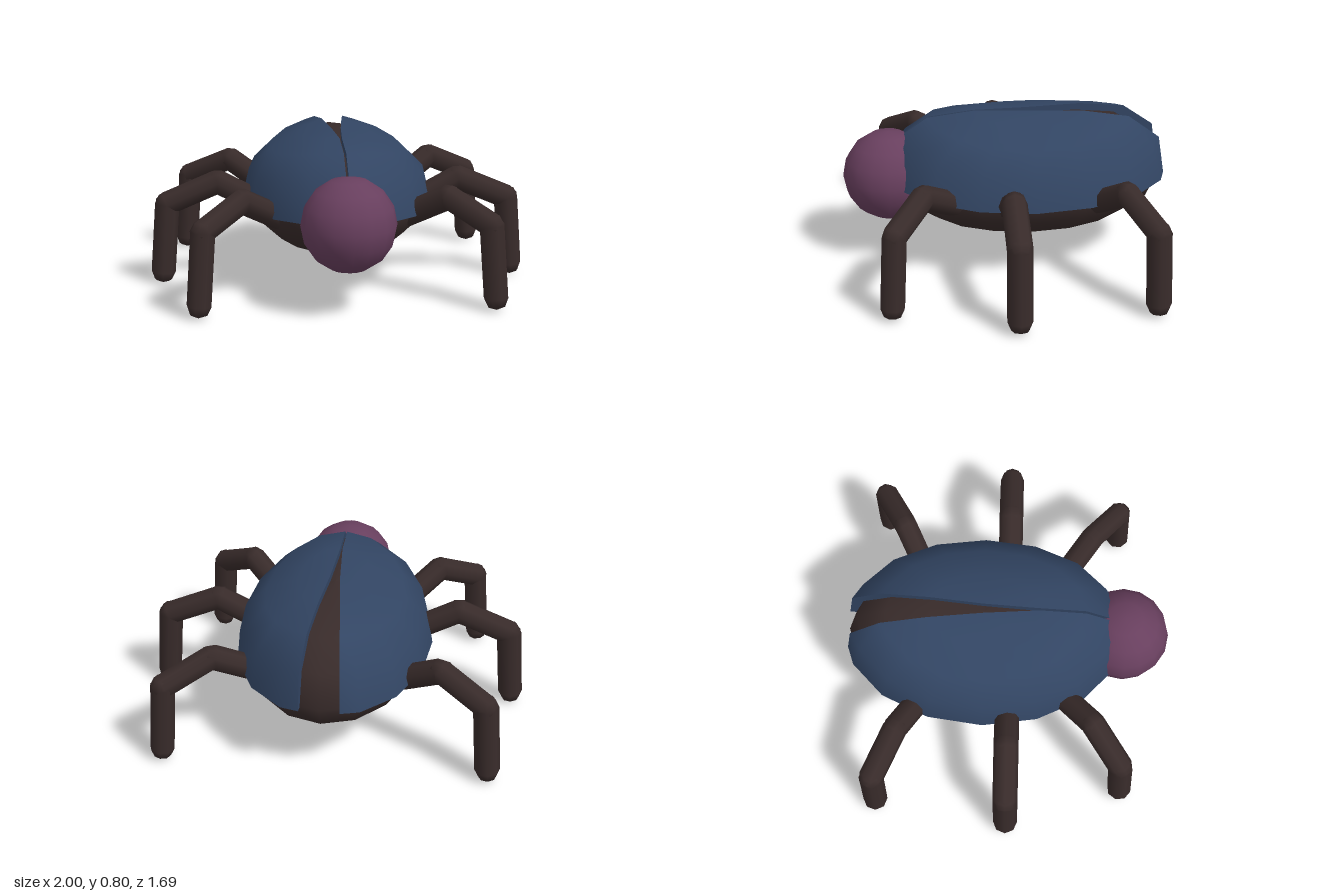
import * as THREE from 'three';
import { mergeGeometries, mergeVertices } from 'three/addons/utils/BufferGeometryUtils.js';

const mat = (name, color, side = THREE.FrontSide) => {
  const m = new THREE.MeshStandardMaterial({ color, side });
  m.name = name;
  return m;
};

// Upper surfaces are fuller towards both ends
const fullness = (t) => 1 + 0.58 * t * t;

// Surface through rows of points
function loft(rows) {
  const n = rows[0].length, index = [];
  for (let i = 0; i < rows.length - 1; i++) {
    for (let j = 0; j < n - 1; j++) {
      const a = i * n + j, b = a + 1, c = a + n, d = c + 1;
      index.push(a, c, b, b, c, d);
    }
  }
  const g = new THREE.BufferGeometry();
  g.setAttribute('position', new THREE.Float32BufferAttribute(rows.flat(2), 3));
  g.setIndex(index);
  const merged = mergeVertices(g, 1e-5);
  merged.computeVertexNormals();
  return merged;
}

// One wing case: a quarter ellipsoid with its inner edge opening towards the rear
function wingCase() {
  const N = 8, M = 4;
  const point = (i, j, s) => {
    const th = (i / M) * Math.PI / 2, ph = (j / N) * Math.PI;
    const t = Math.sin(th) * Math.cos(ph);
    const z = Math.max(-0.13 + 0.745 * s * t, -0.85);
    const gap = 0.006 + Math.max(0, 0.05 - z) * 0.105;
    const x = Math.max(0.51 * s * Math.sin(th) * Math.sin(ph), gap);
    const y = 0.46 + 0.34 * s * Math.cos(th) * fullness(t) - (i === M ? 0.06 * x : 0);
    return [x, y, z];
  };
  const row = (i, s) => Array.from({ length: N + 1 }, (_, j) => point(i, j, s));
  const seam = (s) => {
    const pts = [];
    for (let i = M; i >= 0; i--) pts.push(point(i, 0, s));
    for (let i = 1; i <= M; i++) pts.push(point(i, N, s));
    return pts;
  };
  const outer = loft([0, 1, 2, 3, 4].map((i) => row(i, 1)));
  const rim = loft([row(M, 1), row(M, 0.9)]);
  const wall = loft([seam(0.9), seam(1)]);
  return mergeGeometries([outer, rim, wall]);
}

// Mirrored copy in x with corners re-ordered
function mirrorX(geo) {
  const g = geo.clone().scale(-1, 1, 1);
  const idx = g.index.array;
  for (let i = 0; i < idx.length; i += 3) [idx[i + 1], idx[i + 2]] = [idx[i + 2], idx[i + 1]];
  g.computeVertexNormals();
  return g;
}

export function createModel() {
  const group = new THREE.Group();
  const dark = mat('dark brown', 0x382b2a);
  const blue = mat('shell blue', 0x324563, THREE.DoubleSide);
  const plum = mat('plum', 0x683f5e);

  const add = (parent, name, geo, material) => {
    const m = new THREE.Mesh(geo, material);
    m.name = name;
    parent.add(m);
    return m;
  };

  // Body
  const body = new THREE.SphereGeometry(1, 16, 8);
  const p = body.attributes.position;
  for (let i = 0; i < p.count; i++) {
    if (p.getY(i) > 0) p.setY(i, p.getY(i) * fullness(p.getZ(i)));
  }
  body.computeVertexNormals();
  body.scale(0.47, 0.305, 0.72);
  add(group, 'body', body, dark).position.set(0, 0.46, -0.125);

  // Head
  add(group, 'head', new THREE.SphereGeometry(0.24, 16, 8), plum).position.set(0, 0.46, 0.605);

  // Wing cases
  const wing = wingCase();
  add(group, 'leftWingCase', wing, blue);
  add(group, 'rightWingCase', mirrorX(wing), blue);

  // Legs: root, knee, ankle, foot
  const R = 0.064;
  const legs = {
    Front: [[0.33, 0.42, 0.28], [0.52, 0.548, 0.44], [0.715, 0.435, 0.59], [0.742, R, 0.61]],
    Middle: [[0.4, 0.42, 0], [0.64, 0.548, 0], [0.908, 0.435, 0], [0.938, R, 0]],
    Rear: [[0.37, 0.42, -0.46], [0.57, 0.548, -0.57], [0.8, 0.435, -0.69], [0.826, R, -0.7]],
  };
  const up = new THREE.Vector3(0, 1, 0);
  for (const [place, path] of Object.entries(legs)) {
    for (const side of [1, -1]) {
      const leg = new THREE.Group();
      leg.name = (side > 0 ? 'left' : 'right') + place + 'Leg';
      const pts = path.map(([x, y, z]) => new THREE.Vector3(x * side, y, z));
      ['thigh', 'shin', 'foot'].forEach((name, i) => {
        const dir = pts[i + 1].clone().sub(pts[i]);
        const m = add(leg, name, new THREE.CapsuleGeometry(R, dir.length(), 2, 8), dark);
        m.position.copy(pts[i]).addScaledVector(dir, 0.5);
        m.quaternion.setFromUnitVectors(up, dir.normalize());
      });
      group.add(leg);
    }
  }
  return group;
}
